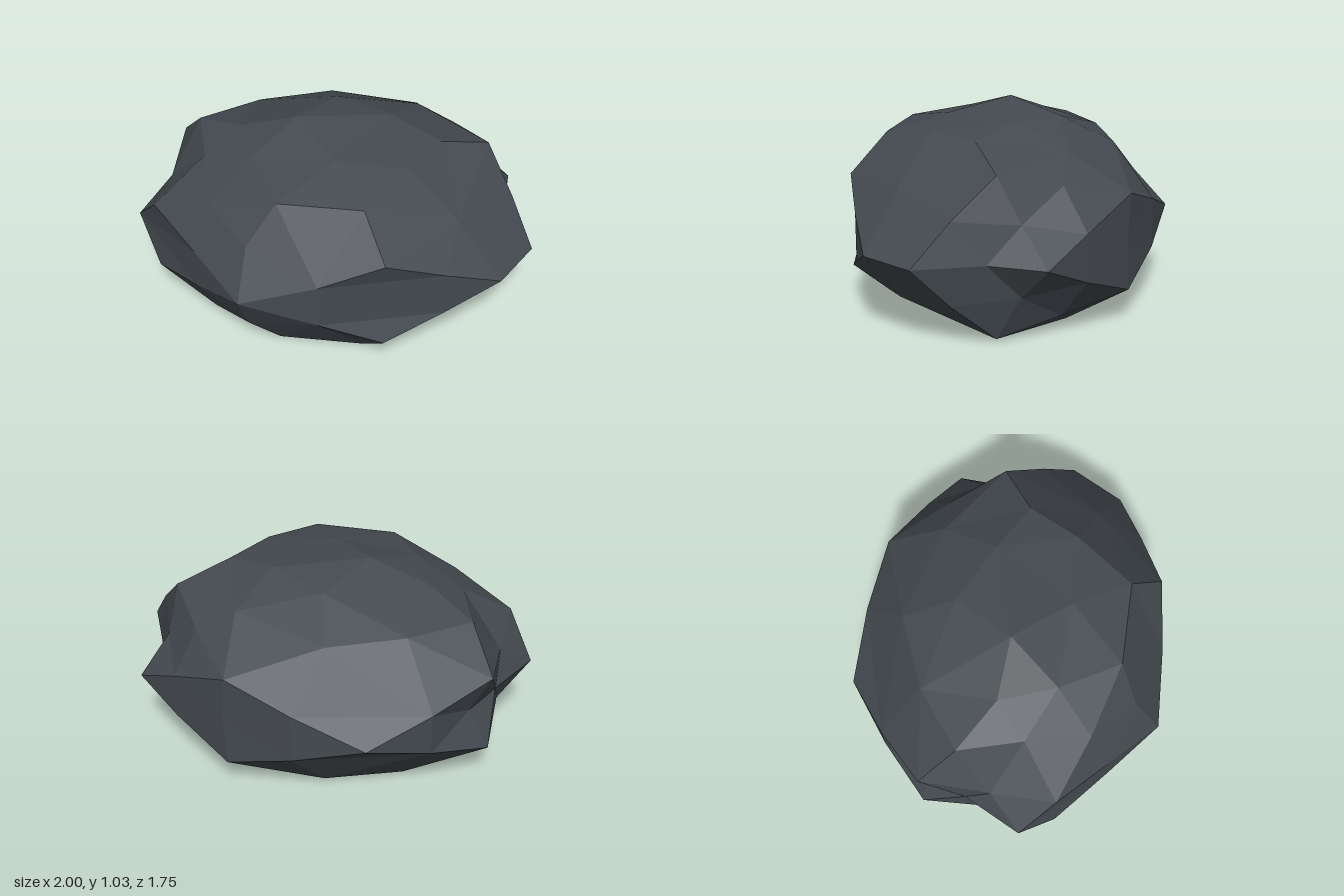
import * as THREE from 'three';
import { ConvexGeometry } from 'three/addons/geometries/ConvexGeometry.js';

const MID = 0.4275; // height of the mirror plane

// Corners on the mirror plane: x, z
const equator = [
  [0.05, 0.875], [1, -0.08], [0.99, -0.4], [0.69, -0.61], [0.55, -0.88],
  [-0.06, -0.86], [-0.76, -0.57], [-0.9, 0.06], [-0.88, 0.3], [-0.86, 0.64],
];

// Corners of the sides, above the plane: x, y, z
const sides = [
  [-0.65, 0.63, 0.72], [-0.3, 0.54, 0.8], [0.38, 0.55, 0.65], [0.64, 0.68, 0.44],
  [0.83, 0.55, 0.18], [0.74, 0.71, -0.05], [0.8, 0.64, -0.48], [0.53, 0.61, -0.69],
  [0.27, 0.55, -0.88], [-0.08, 0.68, -0.86], [-0.42, 0.56, -0.74],
  [-0.9, 0.54, -0.24], [-1, 0.64, 0.1], [-0.81, 0.58, 0.42], [0, 0.68, 0.74],
];

// Corners of the crown: x, y, z
const crown = [
  [-0.3, 0.77, 0.67], [0.07, 0.89, 0.58], [0.45, 0.89, 0.36], [0.47, 0.94, 0],
  [0.45, 0.94, -0.3], [0.58, 0.84, -0.57], [0.27, 0.76, -0.72], [0.1, 0.88, -0.6],
  [-0.4, 0.83, -0.48], [-0.65, 0.84, -0.15], [-0.79, 0.84, 0.19], [-0.54, 0.83, 0.43],
  [-0.48, 0.93, 0.21], [-0.24, 0.93, 0.41], [-0.2, 1.03, 0.08], [-0.2, 0.97, -0.28],
  [0.15, 0.99, -0.29], [0.15, 0.97, 0.2],
];

function createRockGeometry() {
  const upper = [...sides, ...crown];
  const corners = [
    ...equator.map(([x, z]) => new THREE.Vector3(x, MID, z)),
    ...upper.map((p) => new THREE.Vector3(...p)),
    ...upper.map(([x, y, z]) => new THREE.Vector3(x, 2 * MID - y, z)),
  ];

  // Join the corners as a hull on a sphere, so that hollows keep their corners
  const directions = corners.map(
    (p) => new THREE.Vector3(p.x, (p.y - MID) * 1.7, p.z).normalize()
  );
  const geometry = new ConvexGeometry(directions);

  // Move each hull vertex out to its corner and flatten the underside
  const position = geometry.attributes.position;
  const v = new THREE.Vector3();
  for (let i = 0; i < position.count; i++) {
    v.fromBufferAttribute(position, i);
    let nearest = 0;
    directions.forEach((d, k) => {
      if (d.distanceToSquared(v) < directions[nearest].distanceToSquared(v)) nearest = k;
    });
    const p = corners[nearest];
    position.setXYZ(i, p.x, Math.max(0, p.y), p.z);
  }
  geometry.computeVertexNormals(); // unshared vertices give flat facets
  return geometry;
}

export function createModel() {
  const model = new THREE.Group();
  model.name = 'boulder';
  const stone = new THREE.MeshStandardMaterial({ color: 0x444a50 });
  stone.name = 'dark slate stone';
  const rock = new THREE.Mesh(createRockGeometry(), stone);
  rock.name = 'rock';
  model.add(rock);
  return model;
}
